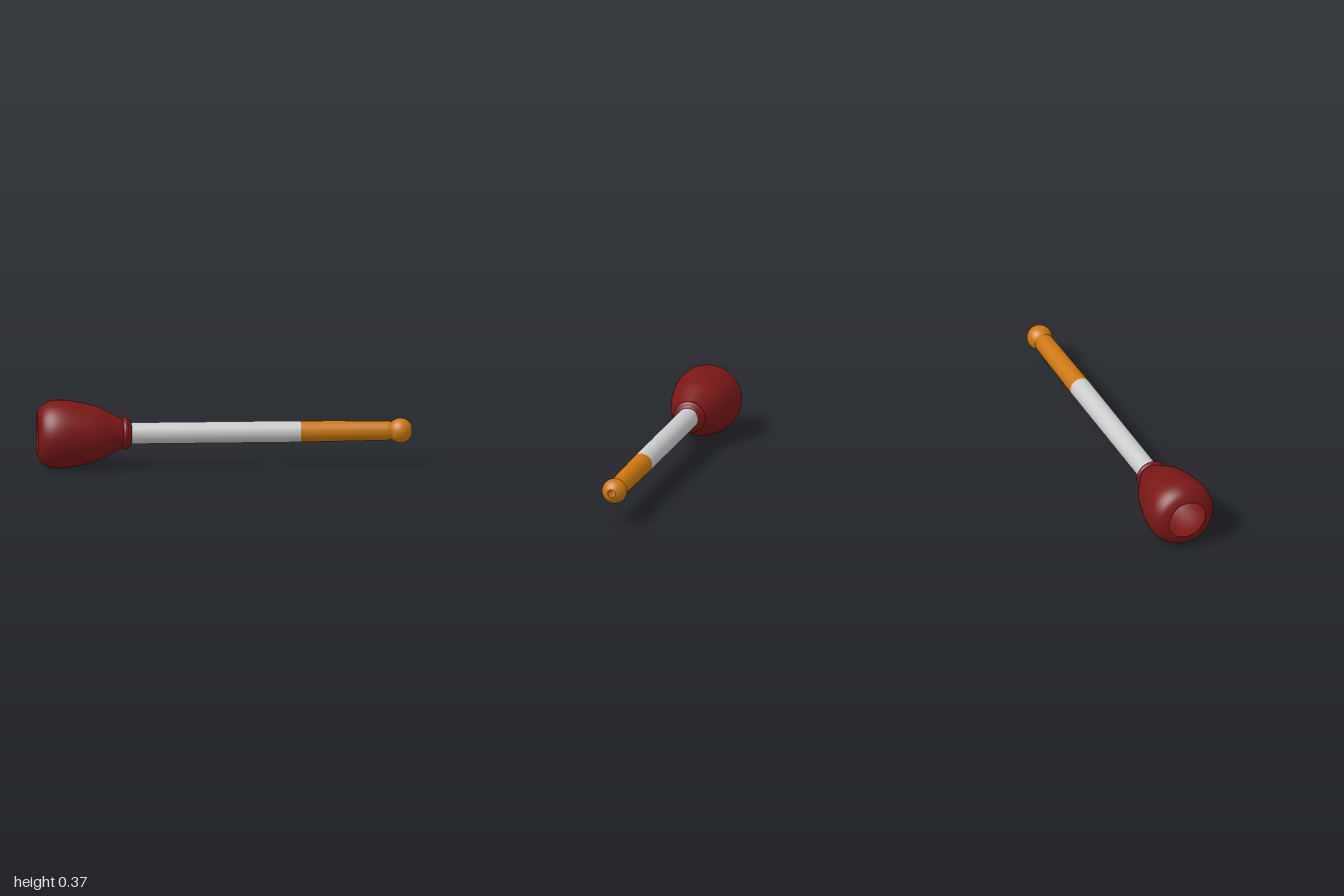
import * as THREE from 'three';

const RED = 0x7a1717, WHITE = 0xcccccc, ORANGE = 0xcb780f;
const AXIS_HEIGHT = 0.183;

// Turned part: profile points are [position along x, radius]
function turned(name, profile, color) {
  const pts = profile.map(([x, r]) => new THREE.Vector2(r, x));
  const mesh = new THREE.Mesh(
    new THREE.LatheGeometry(pts, 48),
    new THREE.MeshStandardMaterial({ color, side: THREE.DoubleSide })
  );
  mesh.name = name;
  mesh.rotation.z = -Math.PI / 2;
  return mesh;
}

// Smooth curve through a few profile points
function smooth(points, n) {
  const curve = new THREE.SplineCurve(points.map(([x, r]) => new THREE.Vector2(x, r)));
  return curve.getPoints(n).map((p) => [p.x, Math.max(p.y, 0)]);
}

export function createModel() {
  const group = new THREE.Group();
  group.name = 'plunger';
  group.position.y = AXIS_HEIGHT;

  // Rubber cup: hollow inside, rounded lip, bell-shaped outside
  group.add(turned('cupInside', smooth([
    [-0.62, 0], [-0.625, 0.05], [-0.68, 0.12], [-0.79, 0.15],
    [-0.89, 0.158], [-0.955, 0.14], [-0.985, 0.11], [-1, 0.105],
  ], 32), RED));
  group.add(turned('cupOutside', smooth([
    [-1, 0.105], [-0.996, 0.122], [-0.975, 0.155], [-0.93, 0.178], [-0.87, 0.183],
    [-0.79, 0.172], [-0.68, 0.145], [-0.6, 0.106], [-0.545, 0.076],
  ], 40), RED));

  // Bead and tapered collar where the handle enters, with the socket floor
  group.add(turned('collarBead', smooth([
    [-0.545, 0.076], [-0.54, 0.084], [-0.53, 0.088], [-0.519, 0.083], [-0.513, 0.075],
  ], 14), RED));
  group.add(turned('collar', [[-0.513, 0.075], [-0.5, 0.067], [-0.497, 0.055]], RED));
  group.add(turned('socketFloor', [[-0.59, 0.057], [-0.59, 0]], RED));

  // Hollow handle shaft
  group.add(turned('shaft', [[-0.585, 0.057], [0.405, 0.057]], WHITE));

  // Grip, slightly tapered, flowing into a round knob
  const knob = [];
  for (let i = 0; i <= 20; i++) {
    const a = THREE.MathUtils.lerp(2.4, 0.36, i / 20);
    knob.push([0.939 + 0.065 * Math.cos(a), 0.067 * Math.sin(a)]);
  }
  group.add(turned('grip', [[0.405, 0.057], [0.6, 0.055], [0.86, 0.052], [0.88, 0.051], ...knob], ORANGE));
  group.add(turned('knobEnd', [[1, 0.0236], [1, 0.021]], ORANGE));

  // Bore running down the handle
  group.add(turned('gripBore', [[1, 0.021], [0.405, 0.021]], ORANGE));
  group.add(turned('shaftBore', [[0.405, 0.021], [-0.585, 0.021]], WHITE));

  return group;
}
